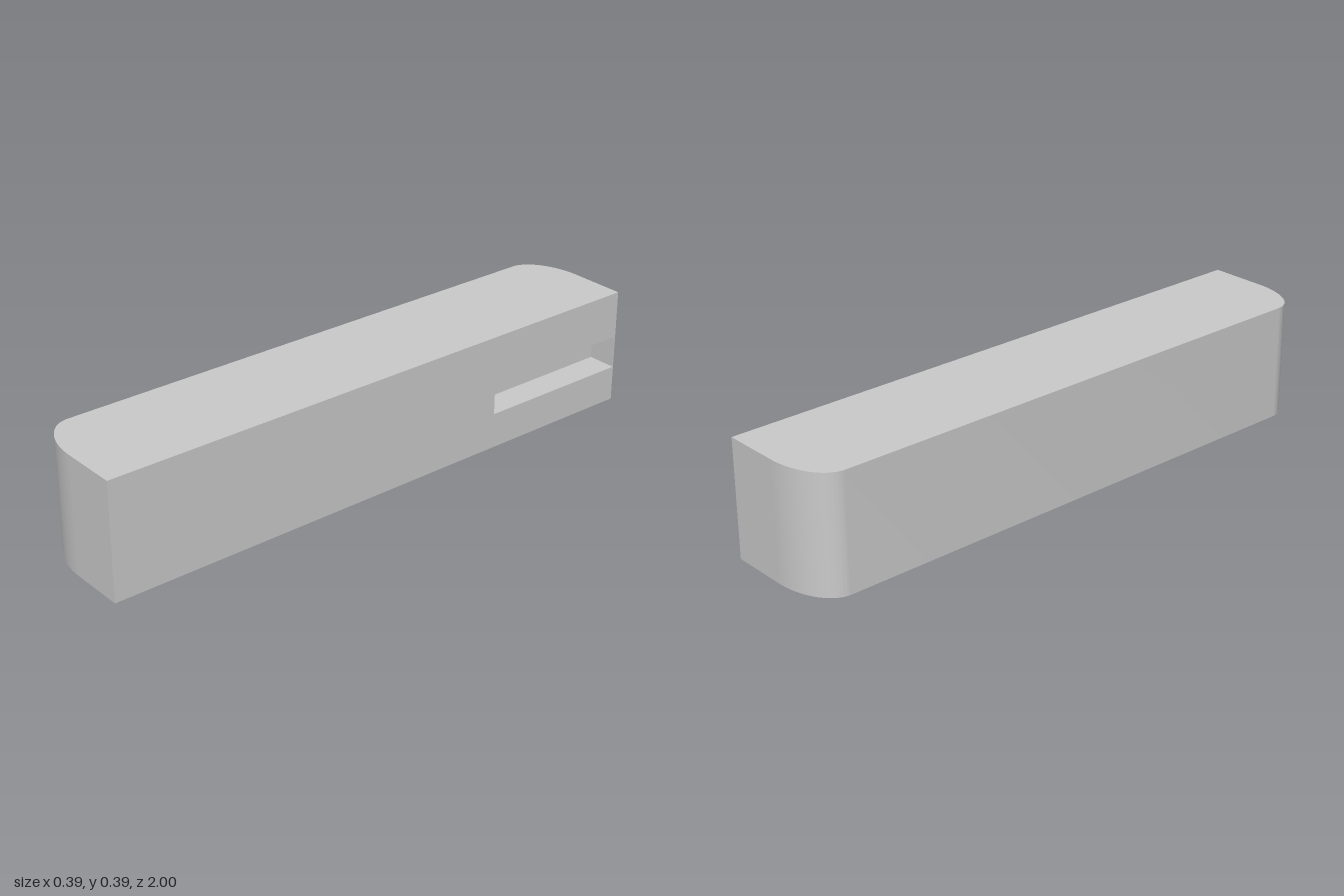
import * as THREE from 'three';
import { toCreasedNormals } from 'three/addons/utils/BufferGeometryUtils.js';

const W = 0.19;      // half width
const H = 0.392;     // height
const L = 1;         // half length
const R = 0.115;     // length of the rounded corners
const slot = { z0: -0.998, z1: -0.45, y0: 0.12, y1: 0.232, depth: 0.1 };

// Bar with two rounded corners; its +x side is left open for the slotted face
function bodyGeometry() {
  const s = new THREE.Shape();
  s.moveTo(W, -L);
  s.lineTo(W, L);
  s.lineTo(0, L);
  s.absellipse(0, L - R, W, R, Math.PI / 2, Math.PI, false);
  s.lineTo(-W, -(L - R));
  s.absellipse(0, -(L - R), W, R, Math.PI, Math.PI * 1.5, false);
  s.closePath();
  const solid = new THREE.ExtrudeGeometry(s, { depth: H, bevelEnabled: false, curveSegments: 24 });
  solid.rotateX(-Math.PI / 2);
  const p = solid.attributes.position;
  const kept = [];
  for (let i = 0; i < p.count; i += 3) {
    const onSide = [0, 1, 2].every((k) => p.getX(i + k) > W - 1e-4);
    if (onSide) continue;
    for (let k = 0; k < 3; k++) kept.push(p.getX(i + k), p.getY(i + k), p.getZ(i + k));
  }
  const g = new THREE.BufferGeometry();
  g.setAttribute('position', new THREE.Float32BufferAttribute(kept, 3));
  return toCreasedNormals(g, 0.5);
}

// Rectangle path in the plane of the side face
function rect(path, x0, x1, y0, y1) {
  path.moveTo(x0, y0);
  path.lineTo(x1, y0);
  path.lineTo(x1, y1);
  path.lineTo(x0, y1);
  path.closePath();
  return path;
}

// Flat +x face with the slot opening
function sideGeometry() {
  const face = rect(new THREE.Shape(), -L, L, 0, H);
  face.holes.push(rect(new THREE.Path(), -slot.z1, -slot.z0, slot.y0, slot.y1));
  return new THREE.ShapeGeometry(face).rotateY(Math.PI / 2).translate(W, 0, 0);
}

// Inward-facing walls of the slot, open towards +x
function slotGeometry() {
  const g = new THREE.BoxGeometry(slot.depth, slot.y1 - slot.y0, slot.z1 - slot.z0);
  g.setIndex(Array.from(g.index.array).slice(6).reverse());
  g.clearGroups();
  g.computeVertexNormals();
  return g.translate(W - slot.depth / 2, (slot.y0 + slot.y1) / 2, (slot.z0 + slot.z1) / 2);
}

export function createModel() {
  const group = new THREE.Group();
  group.name = 'slottedBar';
  const material = new THREE.MeshStandardMaterial({ color: 0xcccccc });
  const parts = { body: bodyGeometry(), slottedSide: sideGeometry(), slotWalls: slotGeometry() };
  for (const [name, geometry] of Object.entries(parts)) {
    // the bar sits at a very slight angle to the z axis
    geometry.rotateY(-0.0065);
    const mesh = new THREE.Mesh(geometry, material);
    mesh.name = name;
    group.add(mesh);
  }
  return group;
}
